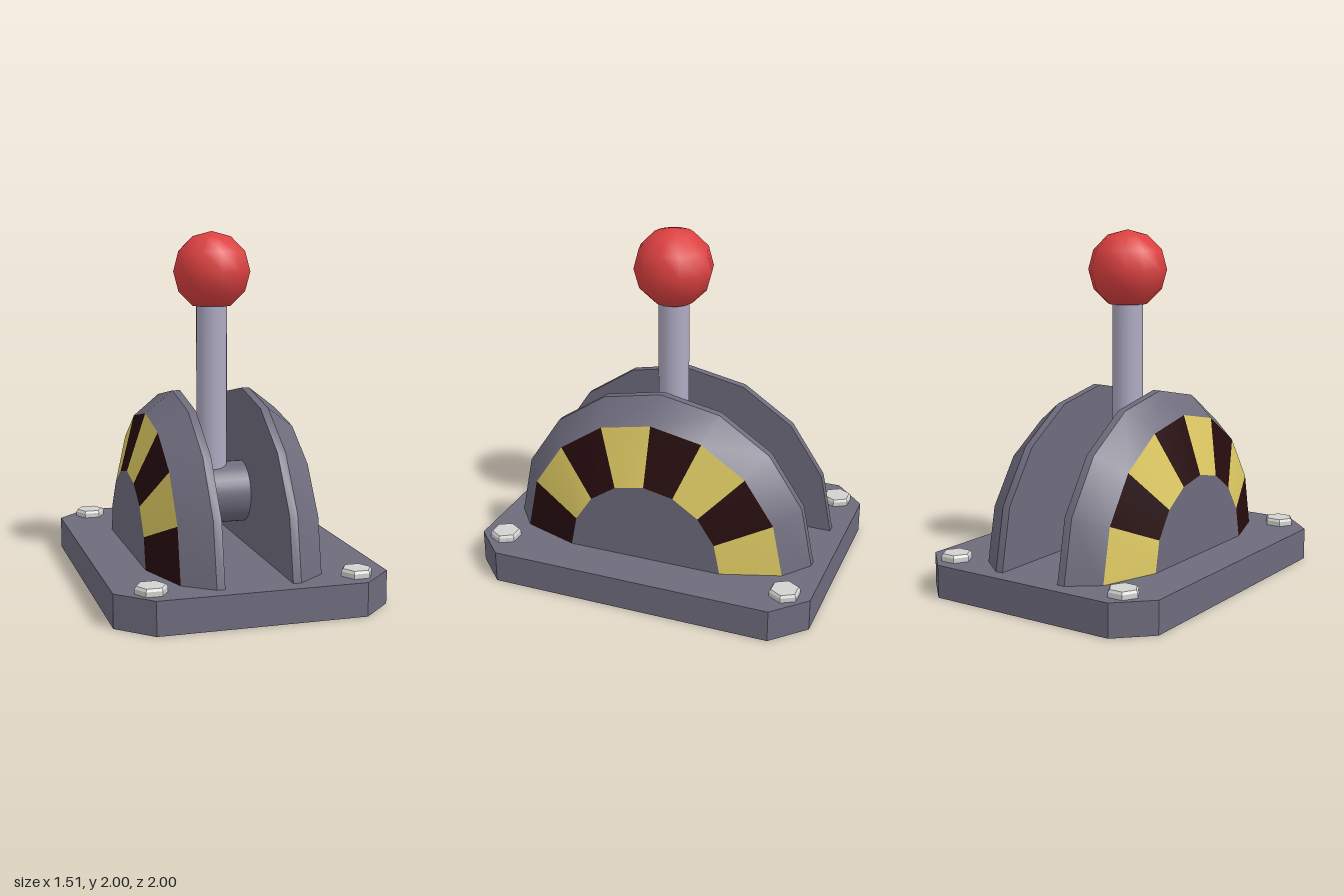
import * as THREE from 'three';

const mat = (name, color, side = THREE.FrontSide) => {
  const m = new THREE.MeshStandardMaterial({ color, side });
  m.name = name;
  return m;
};

// Quad strip between two rows of points; smooth along the strip or faceted
function band(a, b, smooth) {
  const n = a.length, index = [];
  for (let i = 0; i < n - 1; i++) index.push(i, i + 1, n + i + 1, i, n + i + 1, n + i);
  let g = new THREE.BufferGeometry().setFromPoints([...a, ...b]);
  g.setIndex(index);
  if (!smooth) g = g.toNonIndexed();
  g.computeVertexNormals();
  return g;
}

export function createModel() {
  const grey = mat('grey metal', 0x6e6b7c, THREE.DoubleSide);
  const steel = mat('light steel', 0xaeaac2);
  const yellow = mat('warning yellow', 0xdcc862, THREE.DoubleSide);
  const dark = mat('warning dark', 0x260c0e, THREE.DoubleSide);
  const red = mat('red knob', 0xdc4040);
  const white = mat('bolt white', 0xd2d2d0);

  const model = new THREE.Group();
  model.name = 'lever';
  const add = (name, geometry, material, parent = model) => {
    const mesh = new THREE.Mesh(geometry, material);
    mesh.name = name;
    parent.add(mesh);
    return mesh;
  };

  const TOP = 0.185;                                  // top of the base plate
  const profile = [[0.185, 0.91], [0.23, 0.91], [0.39, 0.785], [0.5, 0.455]]; // cheek x, radius

  // Base: hollow shell with clipped corners, slotted under the cheeks
  const outline = [[-0.57, 1], [0.57, 1], [0.755, 0.82], [0.755, -0.82],
    [0.57, -1], [-0.57, -1], [-0.755, -0.82], [-0.755, 0.82]];
  const ring = y => [...outline, outline[0]].map(([x, z]) => new THREE.Vector3(x, y, z));
  add('baseWalls', band(ring(0), ring(TOP), false), grey);

  const plate = new THREE.Shape(outline.map(([x, z]) => new THREE.Vector2(x, -z)));
  for (const s of [-1, 1]) {
    const slot = [...profile.map(([x, r]) => new THREE.Vector2(s * x, r)),
      ...[...profile].reverse().map(([x, r]) => new THREE.Vector2(s * x, -r))];
    plate.holes.push(new THREE.Path(slot));
  }
  add('baseTop', new THREE.ShapeGeometry(plate).rotateX(-Math.PI / 2).translate(0, TOP, 0), grey);

  // Cheeks: half-round hollow shells, stepped inwards towards the outside
  const arc = (x, r) => Array.from({ length: 9 }, (_, i) => {
    const t = i / 8 * Math.PI;
    return new THREE.Vector3(x, TOP + r * Math.sin(t), r * Math.cos(t));
  });
  for (const s of [-1, 1]) {
    const cheek = new THREE.Group();
    cheek.name = s > 0 ? 'leftCheek' : 'rightCheek';
    model.add(cheek);
    const rows = profile.map(([x, r]) => arc(s * x, r));
    const strip = (i, smooth) => s > 0 ? band(rows[i + 1], rows[i], smooth) : band(rows[i], rows[i + 1], smooth);
    add('cheekRim', strip(0, true), grey, cheek);
    add('cheekBevel', strip(1, true), grey, cheek);

    // Alternating warning stripes, one per facet
    const stripes = strip(2, true);
    for (let i = 0; i < 8; i++) stripes.addGroup(i * 6, 6, i % 2);
    add('warningStripes', stripes, [dark, yellow], cheek);

    const half = (r, x, dir) => new THREE.CircleGeometry(r, 8, 0, Math.PI)
      .rotateY(dir * Math.PI / 2).translate(x, TOP, 0);
    add('cheekOuterFace', half(0.455, s * 0.5, s), grey, cheek);
    add('cheekInnerFace', half(0.91, s * 0.185, -s), grey, cheek);
  }

  // Axle, stick and knob
  add('axle', new THREE.CylinderGeometry(0.178, 0.178, 0.39, 32).rotateZ(Math.PI / 2), grey)
    .position.set(0, 0.488, 0.01);
  add('stick', new THREE.CylinderGeometry(0.088, 0.088, 1.02, 24), steel).position.set(0, 1.12, 0.012);
  add('knob', new THREE.SphereGeometry(0.225, 12, 6), red).position.set(0, 1.772, 0.012);
  // Flatten the pole under the knob
  const knobPos = model.getObjectByName('knob').geometry.attributes.position;
  for (let i = 0; i < knobPos.count; i++) knobPos.setY(i, Math.max(knobPos.getY(i), -0.2));

  // Hexagonal bolts passing through the plate corners
  const boltProfile = [[0, 0.13], [0.088, 0.13], [0.088, 0.212], [0.078, 0.226], [0, 0.226]]
    .map(([x, y]) => new THREE.Vector2(x, y));
  const boltGeometry = new THREE.LatheGeometry(boltProfile, 6).rotateY(Math.PI / 6).toNonIndexed();
  boltGeometry.computeVertexNormals();
  for (const x of [-0.563, 0.563]) {
    for (const z of [-0.853, 0.853]) add('bolt', boltGeometry, white).position.set(x, 0, z);
  }
  return model;
}
